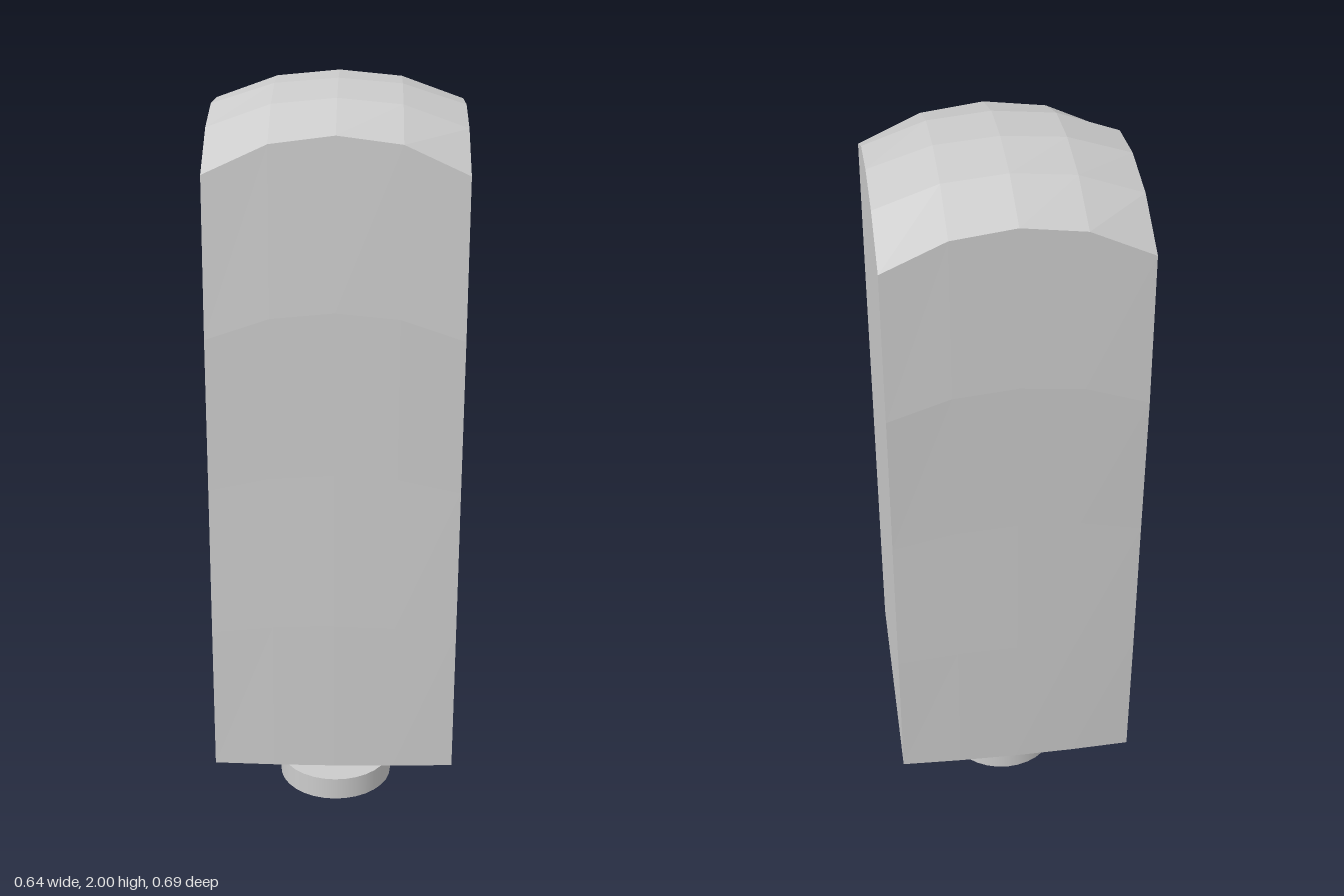
import * as THREE from 'three';

const N = 4;             // segments along every edge of the shell
const BOTTOM = 0.23;
const HALF_X = 0.317;
const DEPTH = [0.33, 0.334, 0.333, 0.336, 0.32]; // half depth by height row

const shell = new THREE.MeshStandardMaterial({ color: 0xcccccc, flatShading: true, side: THREE.DoubleSide });
const solid = new THREE.MeshStandardMaterial({ color: 0xcccccc });

// Height of the domed top at plan position a, b (each -1..1)
function domeHeight(a, b) {
  const r2 = 0.1 * (a * a + b * b);
  return 2 - 0.5 * r2 - 1.5 * r2 * r2;
}

// Point of the leaning, slightly bulging body; t runs from the bottom (0) to the dome (1)
function bodyPoint(a, b, t) {
  const half = DEPTH[Math.round(t * N)] - 0.008 * a * a * (1 - t);
  return new THREE.Vector3(
    HALF_X * a - 0.004 + 0.006 * t,
    BOTTOM + (domeHeight(a, b) - BOTTOM) * t,
    half * b + 0.018 - 0.035 * t
  );
}

// Faceted N x N patch; fn maps u, v in 0..1 to a point, normal along u cross v
function patch(name, fn) {
  const positions = [];
  const index = [];
  for (let j = 0; j <= N; j++)
    for (let i = 0; i <= N; i++) positions.push(...fn(i / N, j / N).toArray());
  for (let j = 0; j < N; j++)
    for (let i = 0; i < N; i++) {
      const p = j * (N + 1) + i;
      const q = p + N + 1;
      index.push(p, p + 1, q + 1, p, q + 1, q);
    }
  const geometry = new THREE.BufferGeometry();
  geometry.setAttribute('position', new THREE.Float32BufferAttribute(positions, 3));
  geometry.setIndex(index);
  const flat = geometry.toNonIndexed();
  flat.computeVertexNormals();
  const mesh = new THREE.Mesh(flat, shell);
  mesh.name = name;
  return mesh;
}

export function createModel() {
  const model = new THREE.Group();
  model.name = 'domedHousing';

  // Open-bottomed body: four walls under a domed roof
  const body = new THREE.Group();
  body.name = 'body';
  const s = (u) => 2 * u - 1;
  body.add(
    patch('frontWall', (u, v) => bodyPoint(s(u), 1, v)),
    patch('backWall', (u, v) => bodyPoint(-s(u), -1, v)),
    patch('leftWall', (u, v) => bodyPoint(1, -s(u), v)),
    patch('rightWall', (u, v) => bodyPoint(-1, s(u), v)),
    patch('domedRoof', (u, v) => bodyPoint(s(u), -s(v), 1))
  );
  model.add(body);

  // Separate round foot below the body
  const foot = new THREE.Mesh(new THREE.CylinderGeometry(0.158, 0.158, 0.065, 32), solid);
  foot.name = 'foot';
  foot.position.set(-0.005, 0.0325, 0.018);
  model.add(foot);

  return model;
}
